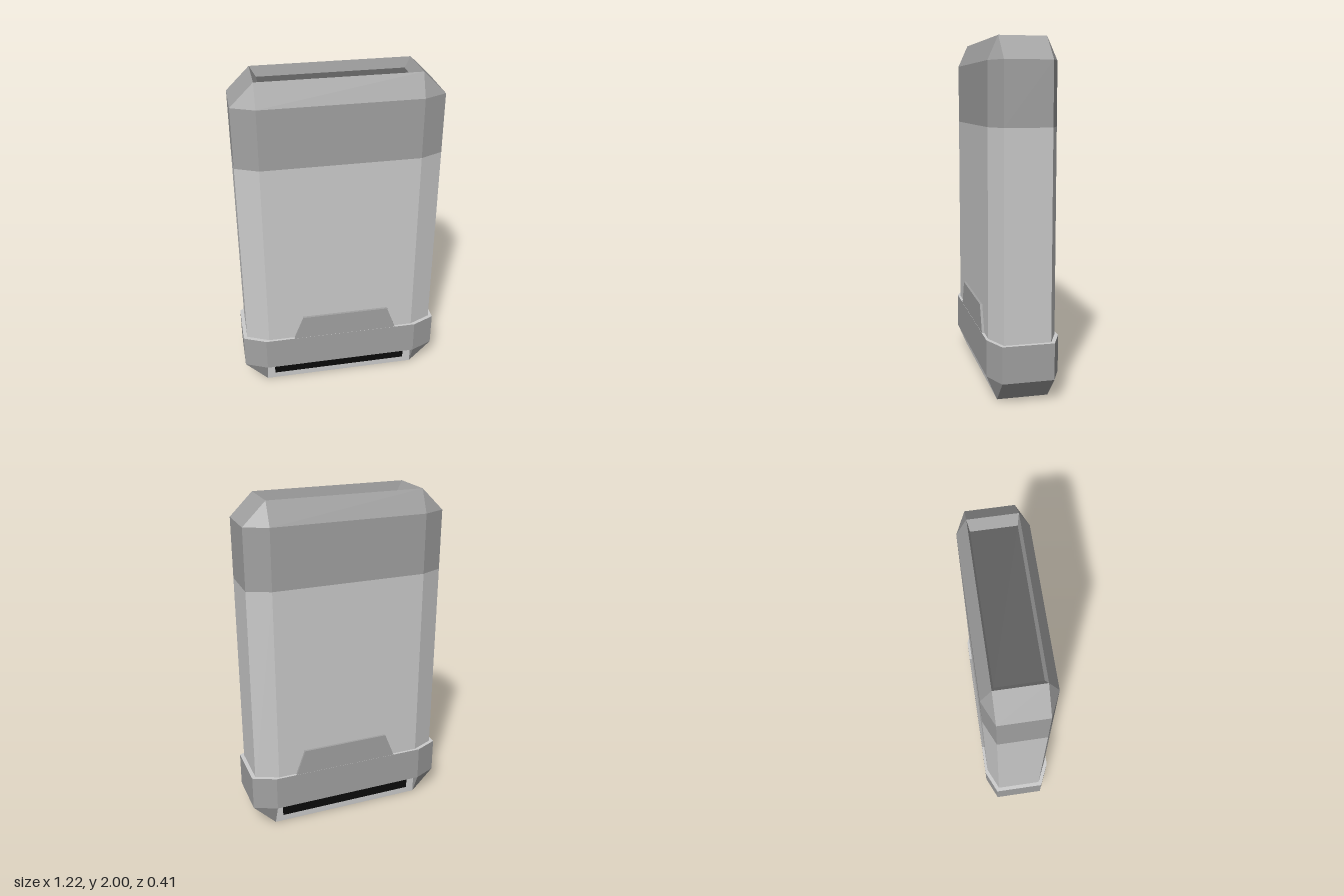
import * as THREE from 'three';

const mat = (color) => new THREE.MeshStandardMaterial({ color, flatShading: true, side: THREE.DoubleSide });

// Geometry from convex polygons, each a list of [x, y, z] corners, counter-clockwise from outside
function fromPolygons(polygons) {
  const pos = [];
  for (const p of polygons)
    for (let i = 1; i < p.length - 1; i++) pos.push(...p[0], ...p[i], ...p[i + 1]);
  const geo = new THREE.BufferGeometry();
  geo.setAttribute('position', new THREE.Float32BufferAttribute(pos, 3));
  geo.computeVertexNormals();
  return geo;
}

// Chamfered rectangle at height y; X, Z are half sizes, x, z the ends of the straight sides
function ring(y, X, Z, x = X, z = Z) {
  return [[X, z], [X, -z], [x, -Z], [-x, -Z], [-X, -z], [-X, z], [-x, Z], [x, Z]].map(([a, b]) => [a, y, b]);
}

// Walls between successive rings, listed from bottom to top
function walls(rings, keep = () => true) {
  const out = [];
  for (let r = 0; r < rings.length - 1; r++)
    for (let i = 0; i < 8; i++) {
      const j = (i + 1) % 8;
      if (keep(i)) out.push([rings[r][i], rings[r][j], rings[r + 1][j], rings[r + 1][i]]);
    }
  return out;
}

export function createModel() {
  const group = new THREE.Group();
  const light = mat(0xcccccc), dark = mat(0xa2a2a2), panel = mat(0xbcbcbc);
  const floor = mat(0x5e5e5e), black = mat(0x0a0a0a);
  const add = (name, geo, material) => {
    const m = new THREE.Mesh(geo, material);
    m.name = name;
    group.add(m);
    return m;
  };
  const bodyRing = (y) => ring(y, 0.587, 0.192, 0.455, 0.133);
  const baseRing = (y) => ring(y, 0.61, 0.207, 0.475, 0.147);

  // Main body
  add('body', fromPolygons(walls([bodyRing(0.3), bodyRing(1.52)])), light);

  // Upper band, bevelled top and sloping rim of the shallow opening
  const recess = ring(1.94, 0.42, 0.122);
  add('topCap', fromPolygons(walls([bodyRing(1.52), bodyRing(1.87), ring(2, 0.455, 0.133), recess])), dark);
  add('openingFloor', fromPolygons([recess]), floor);

  // Base collar and the pale ledge on top of it
  add('baseCollar', fromPolygons(walls([baseRing(0.14), baseRing(0.35)])), dark);
  add('baseLedge', fromPolygons([baseRing(0.35)]), light);

  // Tapered foot, cut away at front and back (ring sides 2 and 6)
  const foot = ring(0, 0.475, 0.147);
  const footFaces = walls([foot, baseRing(0.14)], (i) => i !== 2 && i !== 6);
  footFaces.push([...foot].reverse());
  for (const s of [1, -1]) {
    // Underside of the collar and the cheeks at the ends of the cutaway
    const under = [[-0.475, 0.14, s * 0.147], [0.475, 0.14, s * 0.147], [0.475, 0.14, s * 0.207], [-0.475, 0.14, s * 0.207]];
    footFaces.push(s > 0 ? under : under.reverse());
    for (const x of [0.475, -0.475]) {
      const cheek = [[x, 0.14, s * 0.207], [x, 0.14, s * 0.147], [x, 0, s * 0.147]];
      footFaces.push(s * x < 0 ? cheek : cheek.reverse());
    }
  }
  add('foot', fromPolygons(footFaces), dark);

  // Raised tab outline
  const tabShape = new THREE.Shape([
    [-0.3, 0.34], [0.35, 0.34], [0.29, 0.503], [-0.235, 0.503],
  ].map(([x, y]) => new THREE.Vector2(x, y)));

  for (const [side, s] of [['front', 1], ['back', -1]]) {
    const tab = new THREE.ExtrudeGeometry(tabShape, { depth: 0.026, bevelEnabled: false });
    tab.translate(0, 0, s > 0 ? 0.18 : -0.206);
    add(side + 'Tab', tab, dark);

    // Recessed panel with a dark slot
    const plate = new THREE.BoxGeometry(0.95, 0.14, 0.01);
    plate.translate(0, 0.07, s * 0.142);
    add(side + 'Panel', plate, panel);
    const slot = new THREE.BoxGeometry(0.85, 0.065, 0.01);
    slot.translate(0, 0.073, s * 0.145);
    add(side + 'Slot', slot, black);
  }
  return group;
}
